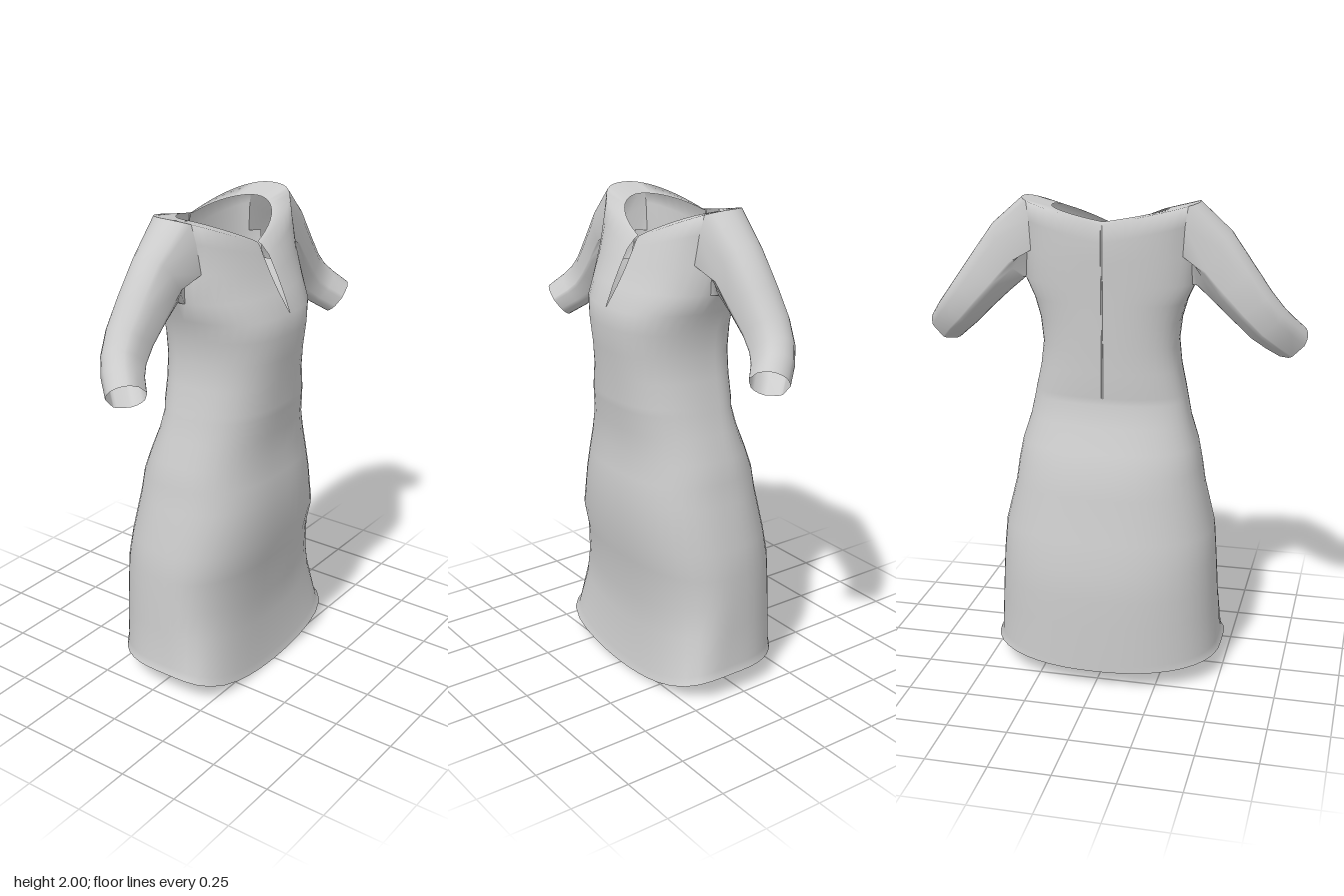
import * as THREE from 'three';
import { mergeVertices } from 'three/addons/utils/BufferGeometryUtils.js';

const N = 48; // columns around the body, starting at the front centre
const cloth = new THREE.MeshStandardMaterial({ color: 0xcccccc, side: THREE.DoubleSide });

// Skirt and bodice levels: [y, halfWidth, frontZ, backZ]
const PROFILE = [
  [0.10, 0.487, 0.282, -0.33],
  [0.13, 0.473, 0.272, -0.33],
  [0.29, 0.465, 0.252, -0.33],
  [0.40, 0.46, 0.258, -0.328],
  [0.52, 0.453, 0.275, -0.323],
  [0.64, 0.443, 0.308, -0.297],
  [0.82, 0.398, 0.31, -0.264],
  [0.91, 0.385, 0.298, -0.25],
  [1.00, 0.368, 0.286, -0.214],
  [1.10, 0.335, 0.29, -0.175],
  [1.19, 0.316, 0.302, -0.147],
  [1.22, 0.31, 0.305, -0.153],
  [1.32, 0.288, 0.308, -0.152],
  [1.42, 0.276, 0.32, -0.154],
  [1.52, 0.287, 0.33, -0.156],
  [1.60, 0.31, 0.324, -0.158],
];
const ARM = PROFILE.length; // first yoke row, at the underside of the armhole
const WAIST = ARM - 5;

// Shoulder yoke: [sideY, frontY, backY, halfWidth, frontZ, backZ, half slit]
const YOKE = [
  [1.68, 1.68, 1.68, 0.347, 0.28, -0.16, 0.013],
  [1.80, 1.75, 1.77, 0.34, 0.242, -0.164, 0.018],
  [1.92, 1.81, 1.85, 0.348, 0.21, -0.166, 0.017],
  [2.00, 1.85, 1.92, 0.36, 0.182, -0.16, 0.006],
  [1.97, 1.86, 1.93, 0.238, 0.167, -0.136, 0.003],
];

// Rows of the whole body; towards the hem they dip in the middle and get squarer in front
function bodyRows() {
  const lower = PROFILE.map(([y, w, zf, zb]) => {
    const t = Math.max(0, (0.52 - y) / 0.42);
    return { sideY: y, frontY: y - 0.095 * Math.sqrt(t), backY: y - 0.02 * t * t, w, zf, zb,
      square: 2.6 + 2.4 * t * t, slit: 0, bend: 2 };
  });
  const upper = YOKE.map(([sideY, frontY, backY, w, zf, zb, slit], i) => (
    { sideY, frontY, backY, w, zf, zb, slit, square: i < 4 ? 2.4 : 2, bend: 1 }));
  return [...lower, ...upper];
}

// Point of a body row; the front and back halves are separate superellipses
function bodyPoint(row, j) {
  const a = Math.PI / 2 + (j / N) * Math.PI * 2;
  const c = Math.cos(a), s = Math.sin(a), front = s > 0;
  const p = front ? row.square : Math.min(row.square, 2.35);
  const r = (Math.abs(c) ** p + Math.abs(s) ** p) ** (-1 / p);
  const k = Math.min(1, Math.abs(c) * r) ** row.bend;
  const centreY = front ? row.frontY : row.backY;
  const gap = j === 0 ? -row.slit : j === N ? row.slit : 0;
  return new THREE.Vector3(row.w * r * c + gap, centreY + (row.sideY - centreY) * k,
    (front ? row.zf : -row.zb) * r * s);
}

// Skin over a grid of points, leaving out cells where skip(i, j) is true
function skin(grid, skip = () => false) {
  const cols = grid[0].length, index = [];
  for (let i = 0; i < grid.length - 1; i++) {
    for (let j = 0; j < cols - 1; j++) {
      if (skip(i, j)) continue;
      const a = i * cols + j, b = a + cols;
      index.push(a, b, a + 1, b, b + 1, a + 1);
    }
  }
  let geo = new THREE.BufferGeometry().setFromPoints(grid.flat());
  geo.setIndex(index);
  geo = mergeVertices(geo, 1e-4);
  geo.computeVertexNormals();
  return geo;
}

function addPart(group, name, geo) {
  const mesh = new THREE.Mesh(geo, cloth);
  mesh.name = name;
  group.add(mesh);
}

// Edge of the armhole on the +x side, as a closed loop of body points
function armholeLoop(grid) {
  const at = (row, offset) => grid[ARM + row][36 + offset].clone();
  const loop = [];
  for (let o = -2; o <= 2; o++) loop.push(at(0, o));
  loop.push(at(1, 2), at(1, 3), at(1, 4), at(2, 4));
  for (let o = 4; o >= -4; o--) loop.push(at(3, o));
  loop.push(at(2, -4), at(1, -4), at(1, -3), at(1, -2));
  loop.push(loop[0].clone());
  return loop;
}

// Sleeve sections: [centre, direction, radius across the height, radius across the depth]
const SLEEVE = [
  [[0.42, 1.78, 0], [0.85, -0.52, 0], 0.128, 0.105],
  [[0.5, 1.685, -0.005], [0.65, -0.76, 0], 0.108, 0.1],
  [[0.576, 1.597, -0.005], [0.62, -0.78, 0.03], 0.096, 0.093],
  [[0.635, 1.53, 0.012], [0.64, -0.7, 0.25], 0.09, 0.085],
  [[0.68, 1.485, 0.045], [0.6, -0.62, 0.5], 0.084, 0.08],
  [[0.727, 1.437, 0.098], [0.53, -0.6, 0.6], 0.078, 0.076],
];

function sleeveGrid(loop) {
  const angles = loop.map((p) => Math.atan2((p.y - 1.84) / 0.16, p.z / 0.11));
  const rings = SLEEVE.map(([centre, direction, ru, rv]) => {
    const d = new THREE.Vector3(...direction).normalize();
    const v = new THREE.Vector3(0, 0, 1).addScaledVector(d, -d.z).normalize();
    const u = new THREE.Vector3().crossVectors(v, d);
    return angles.map((a) => new THREE.Vector3(...centre)
      .addScaledVector(u, ru * Math.sin(a)).addScaledVector(v, rv * Math.cos(a)));
  });
  return [loop, ...rings];
}

export function createModel() {
  const group = new THREE.Group();
  group.name = 'dress';

  // Skirt, bodice and shoulders with open hem, neck, armholes and front keyhole
  const grid = bodyRows().map((row) => Array.from({ length: N + 1 }, (_, j) => bodyPoint(row, j)));
  const inArmhole = (i, j) => {
    if (i < ARM || i > ARM + 2) return false;
    const reach = i === ARM ? 2 : 4;
    return [12, 36].some((side) => Math.abs(j + 0.5 - side) < reach);
  };
  addPart(group, 'dressBody', skin(grid, inArmhole));

  // Sleeves grow out of the armhole edges
  const left = sleeveGrid(armholeLoop(grid));
  const right = left.map((ring) => ring.map((p) => new THREE.Vector3(-p.x, p.y, p.z)).reverse());
  addPart(group, 'leftSleeve', skin(left));
  addPart(group, 'rightSleeve', skin(right));

  // Thin closure down the middle of the back, neck to waist
  const seam = new THREE.CatmullRomCurve3(grid.slice(WAIST, ARM + 4).map((row) => row[N / 2].clone()));
  addPart(group, 'backSeam', new THREE.TubeGeometry(seam, 20, 0.004, 5));

  return group;
}
